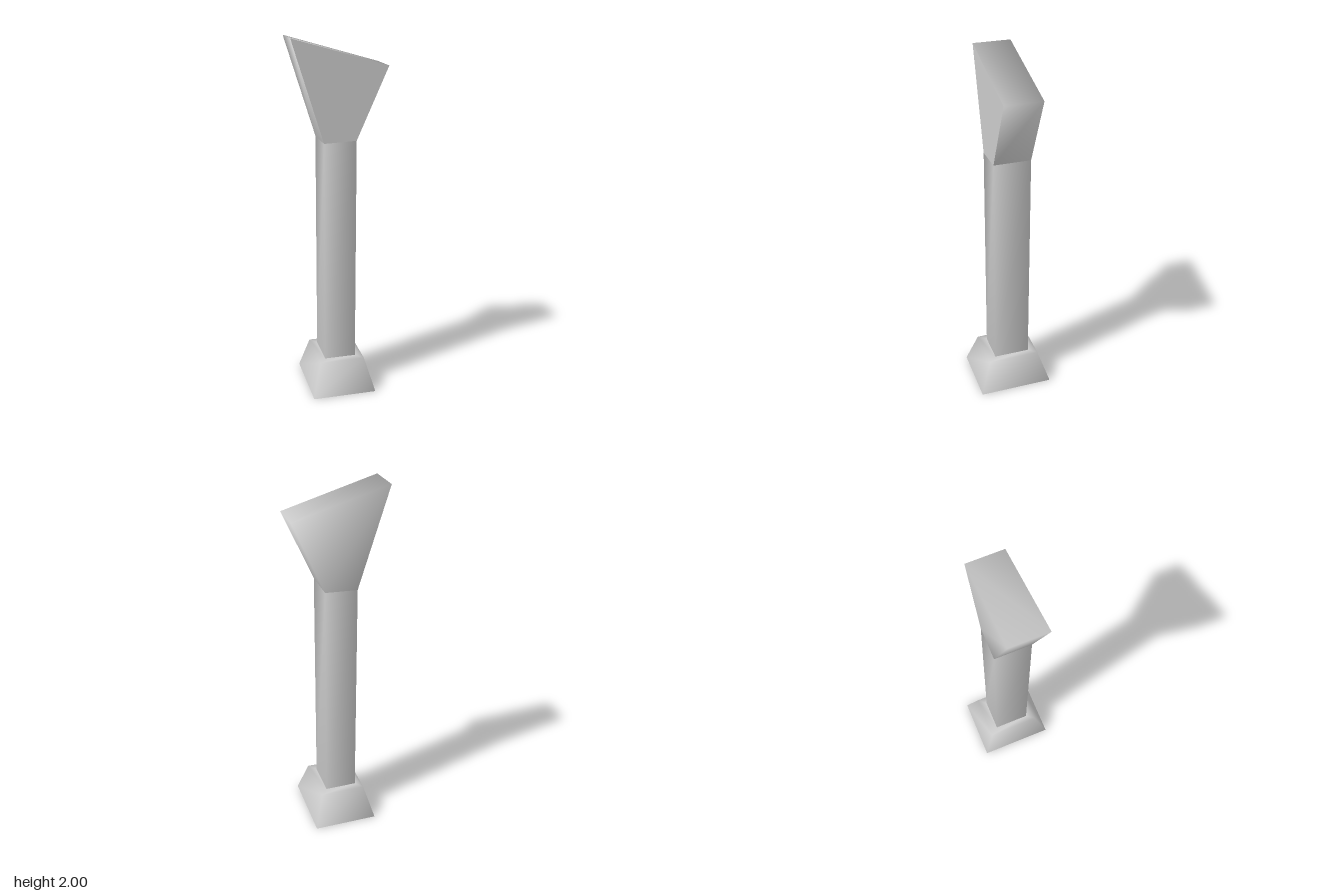
import * as THREE from 'three';

// Four corners, counter-clockwise from above; the left and right edges may differ in height.
function ring(x0, x1, z, y0, y1 = y0) {
  return [[x0, y0, z], [x1, y1, z], [x1, y1, -z], [x0, y0, -z]];
}

// Joins the rings with smooth-shaded walls. The front wall can be left out and the top closed.
function loft(rings, { skipFront = false, cap = false } = {}) {
  const index = [];
  const quad = (a, b, c, d) => index.push(a, b, c, a, c, d);
  for (let r = 0; r < rings.length - 1; r++) {
    for (let i = skipFront ? 1 : 0; i < 4; i++) {
      const j = (i + 1) % 4, lo = r * 4, hi = lo + 4;
      quad(lo + i, lo + j, hi + j, hi + i);
    }
  }
  const top = (rings.length - 1) * 4;
  if (cap) quad(top, top + 1, top + 2, top + 3);
  const geometry = new THREE.BufferGeometry();
  geometry.setAttribute('position', new THREE.Float32BufferAttribute(rings.flat(2), 3));
  geometry.setIndex(index);
  geometry.computeVertexNormals();
  return geometry;
}

export function createModel() {
  const model = new THREE.Group();
  model.name = 'pillar';
  const stone = new THREE.MeshStandardMaterial({ color: 0xcccccc, side: THREE.DoubleSide });
  stone.name = 'light grey';

  const add = (name, geometry) => {
    const mesh = new THREE.Mesh(geometry, stone);
    mesh.name = name;
    model.add(mesh);
  };

  const shaftFoot = ring(-0.091, 0.087, 0.103, 0.19);
  const shaftTop = ring(-0.091, 0.087, 0.103, 1.453, 1.46);
  const headTop = ring(-0.262, 0.26, 0.103, 2, 1.85);

  // Hollow tapered base, open below, with a ledge running in to the shaft
  add('base', loft([
    ring(-0.181, 0.181, 0.213, 0),
    ring(-0.128, 0.128, 0.15, 0.19),
    shaftFoot,
  ]));

  // Straight square shaft
  add('shaft', loft([shaftFoot, shaftTop]));

  // Flared head with a slanted top; its front is a separate flat face
  add('head', loft([shaftTop, headTop], { skipFront: true, cap: true }));
  const front = new THREE.BufferGeometry();
  const corners = [shaftTop[0], shaftTop[1], headTop[1], headTop[0]];
  front.setAttribute('position', new THREE.Float32BufferAttribute(corners.flat(), 3));
  front.setIndex([0, 1, 2, 0, 2, 3]);
  front.computeVertexNormals();
  add('headFront', front);

  return model;
}
